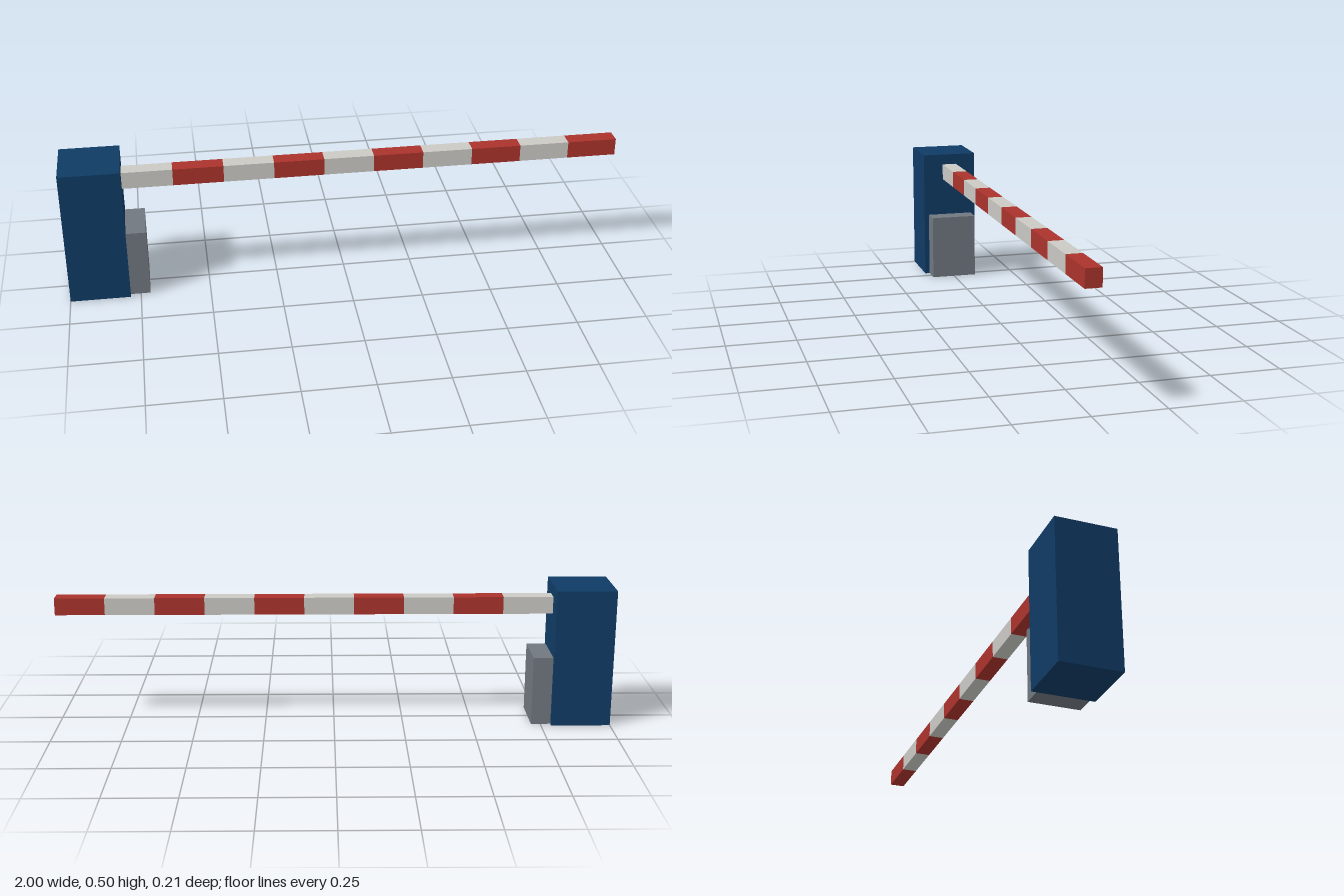
import * as THREE from 'three';

const material = (name, color) => {
  const m = new THREE.MeshStandardMaterial({ color });
  m.name = name;
  return m;
};

// Box given by its extent in x and y, centred on z = 0
function box(name, mat, x0, x1, y0, y1, depth) {
  const mesh = new THREE.Mesh(new THREE.BoxGeometry(x1 - x0, y1 - y0, depth), mat);
  mesh.name = name;
  mesh.position.set((x0 + x1) / 2, (y0 + y1) / 2, 0);
  return mesh;
}

export function createModel() {
  const blue = material('cabinet blue', 0x0f3b64);
  const grey = material('housing grey', 0x70777f);
  const red = material('stripe red', 0xab332c);
  const white = material('stripe white', 0xcac9c4);

  const model = new THREE.Group();
  model.name = 'barrierGate';
  const cabinetFace = -0.787;

  // Upright cabinet with the small housing against its inner side
  model.add(box('cabinet', blue, -1, cabinetFace, 0, 0.502, 0.214));
  model.add(box('counterweightHousing', grey, cabinetFace, -0.716, 0, 0.251, 0.178));

  // Boom arm: ten equal segments, alternating white and red
  const arm = new THREE.Group();
  arm.name = 'boomArm';
  const count = 10;
  const step = (1 - cabinetFace) / count;
  for (let i = 0; i < count; i++) {
    const x = cabinetFace + i * step;
    arm.add(box(`armSegment${i + 1}`, i % 2 ? red : white, x, x + step, 0.399, 0.461, 0.056));
  }
  model.add(arm);
  return model;
}
